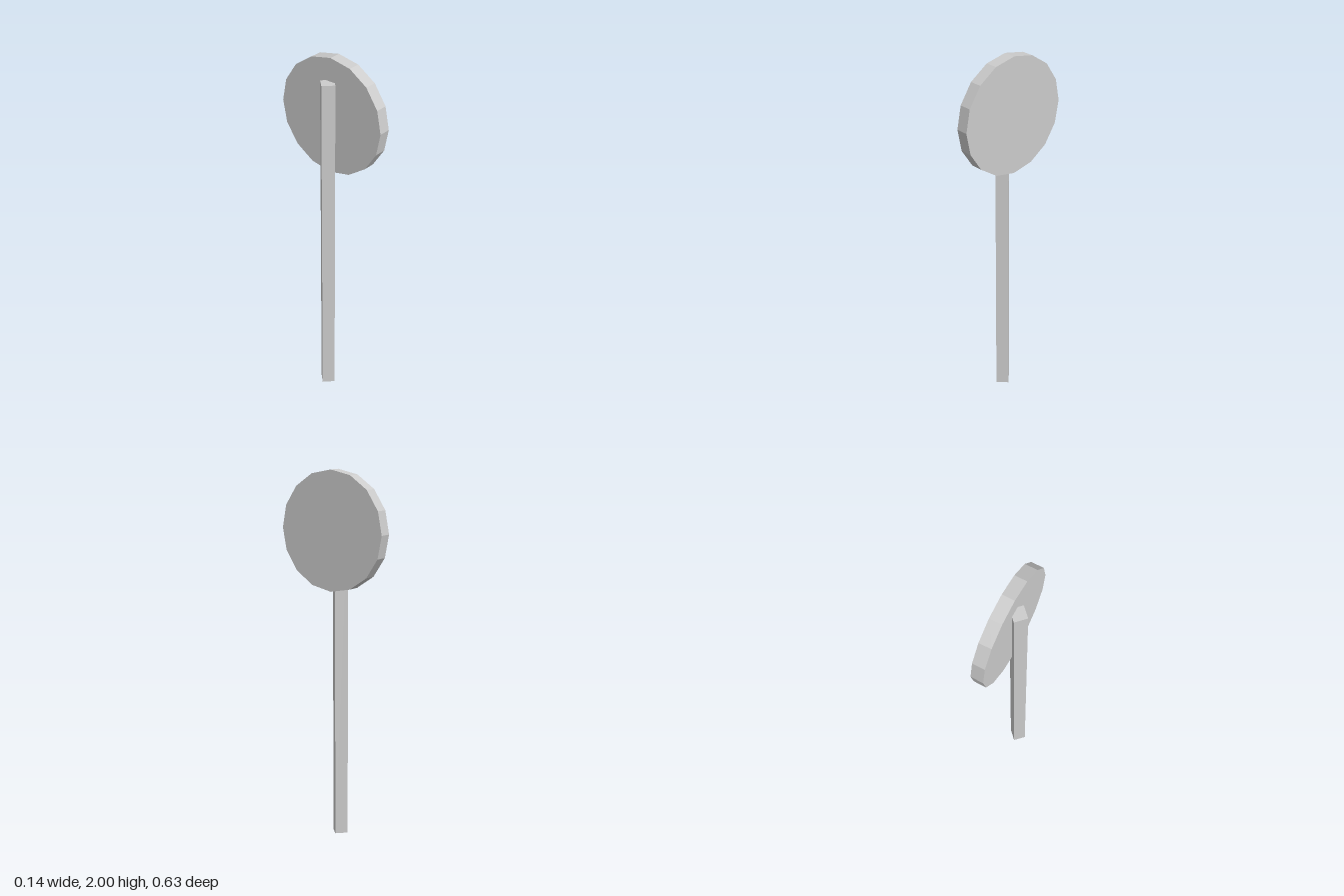
import * as THREE from 'three';

export function createModel() {
  const group = new THREE.Group();
  const material = new THREE.MeshStandardMaterial({ color: 0xcccccc, flatShading: true });

  const add = (name, radius, length, sides, x, y) => {
    const mesh = new THREE.Mesh(new THREE.CylinderGeometry(radius, radius, length, sides), material);
    mesh.name = name;
    mesh.position.set(x, y, 0);
    group.add(mesh);
    return mesh;
  };

  // Square post, turned so a corner points along each axis
  const postHeight = 1.875;
  add('post', 0.049, postHeight, 4, -0.02, postHeight / 2);

  // Sixteen-sided sign disc facing +x, overlapping the top of the post
  const discRadius = 0.316;
  add('signDisc', discRadius, 0.067, 16, 0.034, 2 - discRadius).rotation.z = -Math.PI / 2;

  return group;
}
